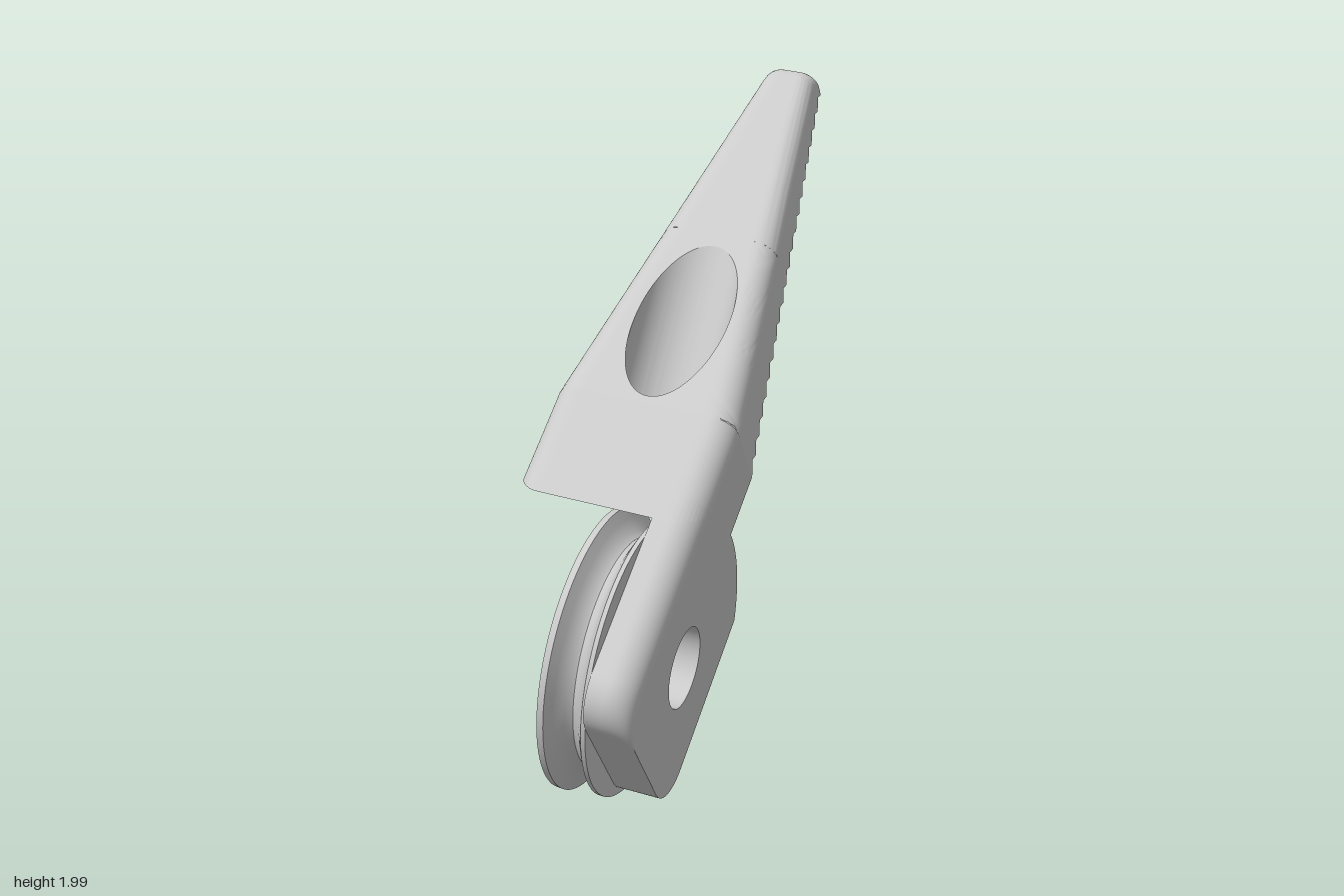
import * as THREE from 'three';
import { toCreasedNormals } from 'three/addons/utils/BufferGeometryUtils.js';

// Local frame: x runs along the jaw, y from teeth to back, z along the pin axis.
const material = new THREE.MeshStandardMaterial({ color: 0xcccccc, side: THREE.DoubleSide });
const BEND = 0.62, TIP = 2.02, FLAT = 0.025, TEETH_START = 0.563, TEETH = 22;
const PITCH = (TIP - TEETH_START) / TEETH;
const PLATE = 0.13, CLEAR = 0.44, PIN = 0.12;
const lerp = THREE.MathUtils.lerp;

function mesh(name, geometry, crease = 0.6) {
  const m = new THREE.Mesh(toCreasedNormals(geometry, crease), material);
  m.name = name;
  return m;
}

// Surface through an nu x nv lattice of points
function grid(nu, nv, fn) {
  const pos = [], index = [];
  for (let i = 0; i <= nu; i++) for (let j = 0; j <= nv; j++) pos.push(...fn(i, j));
  for (let i = 0; i < nu; i++) for (let j = 0; j < nv; j++) {
    const a = i * (nv + 1) + j, b = a + nv + 1;
    index.push(a, b, a + 1, b, b + 1, a + 1);
  }
  const g = new THREE.BufferGeometry();
  g.setAttribute('position', new THREE.Float32BufferAttribute(pos, 3));
  g.setIndex(index);
  return g;
}

// Jaw dimensions along its length
const taper = u => Math.max(0, (u - BEND) / (TIP - BEND));
const near = u => -0.23 * taper(u);
const far = u => -0.56 + 0.185 * taper(u);
const fillet = u => 0.08 - 0.03 * taper(u);
function top(u) {
  const drop = (d, R) => (d > 0 ? R - Math.sqrt(Math.max(0, R * R - d * d)) : 0);
  return 0.345 - 0.165 * taper(u) - drop(-0.21 - u, 0.12) - drop(u - (TIP - 0.08), 0.08);
}
function bottom(u) {
  if (u <= TEETH_START) return FLAT;
  const phase = ((u - TEETH_START) / PITCH) % 1;
  return FLAT + 0.032 * (1 - Math.abs(2 * phase - 1));
}
// Height of the back, with rounded long edges
function backHeight(u, c) {
  const r = fillet(u), h = (near(u) - far(u)) / 2, m = (near(u) + far(u)) / 2;
  const d = Math.max(0, Math.abs(c - m) - (h - r));
  return top(u) - r + Math.sqrt(Math.max(0, r * r - d * d));
}
const across = (u, t) => lerp(far(u), near(u), 0.5 + 0.5 * Math.sin(t * Math.PI / 2));
const back = (u, t) => [u, backHeight(u, across(u, t)), across(u, t)];

// Slanted stepped bore: a point at distance s on its axis, radius r, angle a
const TILT = 22 * Math.PI / 180, SIN = Math.sin(TILT), COS = Math.cos(TILT);
const borePoint = (r, a, s) => [
  0.93 + COS * s + r * Math.cos(a) * SIN,
  0.306 + SIN * s - r * Math.cos(a) * COS,
  -0.28 + r * Math.sin(a)];
function hit(r, a, lo, hi, beyond) {
  for (let i = 0; i < 40; i++) {
    const s = (lo + hi) / 2;
    if (beyond(...borePoint(r, a, s))) hi = s; else lo = s;
  }
  return lo;
}
const rimS = a => hit(0.14, a, -0.6, 0.8, (u, v, c) => v > backHeight(u, c));
const exitS = a => hit(0.065, a, -0.75, -0.3, (u, v) => Math.hypot(u, v) > CLEAR);

// Rectangular patch with a hole: rim(a) and the box are in parameter space
function holedPatch(rim, [p0, p1, q0, q1], surface) {
  const N = 96, M = 14;
  return grid(N, M, (i, j) => {
    const a = i / N * Math.PI * 2, x = Math.cos(a), y = Math.sin(a);
    const k = Math.max(Math.abs(x), Math.abs(y)), [p, q] = rim(a);
    return surface(
      lerp(p, lerp(p0, p1, 0.5 + 0.5 * x / k), j / M),
      lerp(q, lerp(q0, q1, 0.5 + 0.5 * y / k), j / M));
  });
}

function buildJaw() {
  const jaw = new THREE.Group();
  jaw.name = 'jaw';
  const NT = 36, T = j => -1 + 2 * j / NT;

  // Back: lower part, part around the bore, and the tapering finger
  jaw.add(mesh('lowerBack', grid(8, NT, (i, j) => {
    const c = across(0.5, T(j)), v = backHeight(0.5, c);
    return [lerp(Math.sqrt(CLEAR * CLEAR - v * v), BEND, i / 8), v, c];
  })));
  jaw.add(mesh('backAroundBore', holedPatch(a => {
    const [u, , c] = borePoint(0.14, a, rimS(a));
    const w = 2 * (c - far(u)) / (near(u) - far(u)) - 1;
    return [u, Math.asin(THREE.MathUtils.clamp(w, -1, 1)) * 2 / Math.PI];
  }, [BEND, 1.27, -1, 1], back)));
  const backStations = [1.27, 1.5, 1.75];
  for (let i = 0; i <= 10; i++) backStations.push(TIP - 0.08 + 0.08 * Math.sin(i / 10 * Math.PI / 2));
  jaw.add(mesh('fingerBack', grid(backStations.length - 1, NT, (i, j) => back(backStations[i], T(j)))));
  jaw.add(mesh('tipEnd', grid(1, NT, (i, j) => {
    const [u, v, c] = back(TIP, T(j));
    return [u, i ? v : bottom(u), c];
  })));

  // Toothed gripping face
  const teeth = [Math.sqrt(CLEAR * CLEAR - FLAT * FLAT)];
  for (let i = 0; i <= TEETH * 2; i++) teeth.push(TEETH_START + i * PITCH / 2);
  jaw.add(mesh('teeth', grid(teeth.length - 1, 1, (i, j) =>
    [teeth[i], bottom(teeth[i]), j ? near(teeth[i]) : far(teeth[i])])));

  // Side walls
  const stations = [BEND, ...teeth.filter(u => u > BEND), ...backStations.slice(3, -1)].sort((a, b) => a - b);
  for (const [name, edge] of [['nearSide', near], ['farSide', far]]) {
    jaw.add(mesh(name, grid(stations.length - 1, 1, (i, j) => {
      const u = stations[i];
      return [u, j ? top(u) - fillet(u) : bottom(u), edge(u)];
    })));
  }
  jaw.add(mesh('farLowerSide', grid(1, 16, (i, j) => {
    const v = lerp(FLAT, 0.265, j / 16);
    return [i ? BEND : Math.sqrt(CLEAR * CLEAR - v * v), v, far(0)];
  })));

  // Hollow face that clears the wheel
  const low = Math.asin(FLAT / CLEAR), high = c => Math.asin(backHeight(0.5, c) / CLEAR);
  jaw.add(mesh('wheelClearance', holedPatch(a => {
    const [u, v, c] = borePoint(0.065, a, exitS(a));
    return [-(Math.atan2(v, u) - low) / (high(c) - low), c];
  }, [-1, 0, far(0), -PLATE], (p, c) => {
    const angle = lerp(low, high(c), -p);
    return [CLEAR * Math.cos(angle), CLEAR * Math.sin(angle), c];
  })));

  // Stepped bore walls
  const steps = [[0.14, rimS], [0.14, -0.26], [0.1, -0.26], [0.1, -0.36], [0.065, -0.36], [0.065, exitS]];
  jaw.add(mesh('steppedBore', grid(96, steps.length - 1, (i, j) => {
    const a = i / 96 * Math.PI * 2, [r, s] = steps[j];
    return borePoint(r, a, typeof s === 'function' ? s(a) : s);
  })));
  return jaw;
}

function buildPlate() {
  const plate = new THREE.Group();
  plate.name = 'pivotPlate';
  const rows = [];
  for (let i = 0; i <= 10; i++) rows.push(-0.21 - 0.12 * Math.cos(i / 10 * Math.PI / 2));

  // Flat cheek with the pin hole
  const s = new THREE.Shape();
  s.absarc(-0.19, -0.16, 0.14, Math.PI, Math.PI * 1.5, false);
  s.absarc(0, 0, 0.425, -0.784, 0.059, false);
  s.lineTo(BEND, FLAT);
  s.lineTo(BEND, 0.265);
  [...rows].reverse().forEach(u => s.lineTo(u, top(u) - 0.08));
  s.closePath();
  s.holes.push(new THREE.Path().absarc(0, 0, PIN, 0, Math.PI * 2, true));
  const g = new THREE.ExtrudeGeometry(s, { depth: PLATE, bevelEnabled: false, curveSegments: 32 });
  plate.add(mesh('cheek', g.translate(0, 0, -PLATE)));

  // Rounded back edge
  const section = [[-PLATE, -0.08], [-PLATE, 0]];
  for (let i = 0; i <= 10; i++) {
    const a = i / 10 * Math.PI / 2;
    section.push([-0.08 + 0.08 * Math.sin(a), -0.08 + 0.08 * Math.cos(a)]);
  }
  const us = [rows[0], ...rows, 0.36];
  plate.add(mesh('roundedEdge', grid(us.length - 1, section.length - 1, (i, j) =>
    [us[i], top(us[i]) + (i ? section[j][1] : -0.08), section[j][0]])));
  return plate;
}

// Grooved wheel behind the plate
function buildWheel() {
  const profile = [[PIN, -0.27], [0.413, -0.27], [0.415, -0.25], [0.385, -0.235], [0.35, -0.215],
    [0.338, -0.195], [0.35, -0.175], [0.385, -0.155], [0.405, -0.143], [0.405, -PLATE], [PIN, -PLATE], [PIN, -0.27]];
  const g = new THREE.LatheGeometry(profile.map(p => new THREE.Vector2(...p)), 80);
  return mesh('groovedWheel', g.rotateX(Math.PI / 2));
}

export function createModel() {
  const model = new THREE.Group();
  model.name = 'pivotingJaw';
  model.add(buildJaw(), buildPlate(), buildWheel());

  // Tilt the whole part into its resting pose
  const n = new THREE.Vector3(0.54, -0.135, 0.83).normalize();
  const u = new THREE.Vector3(0.621, 0.729, -0.286);
  u.addScaledVector(n, -u.dot(n)).normalize();
  const v = new THREE.Vector3().crossVectors(n, u);
  model.quaternion.setFromRotationMatrix(new THREE.Matrix4().makeBasis(u, v, n));
  model.position.set(-0.31, 0.39, 0.335);
  const root = new THREE.Group();
  root.name = 'clampJaw';
  root.add(model);
  return root;
}
